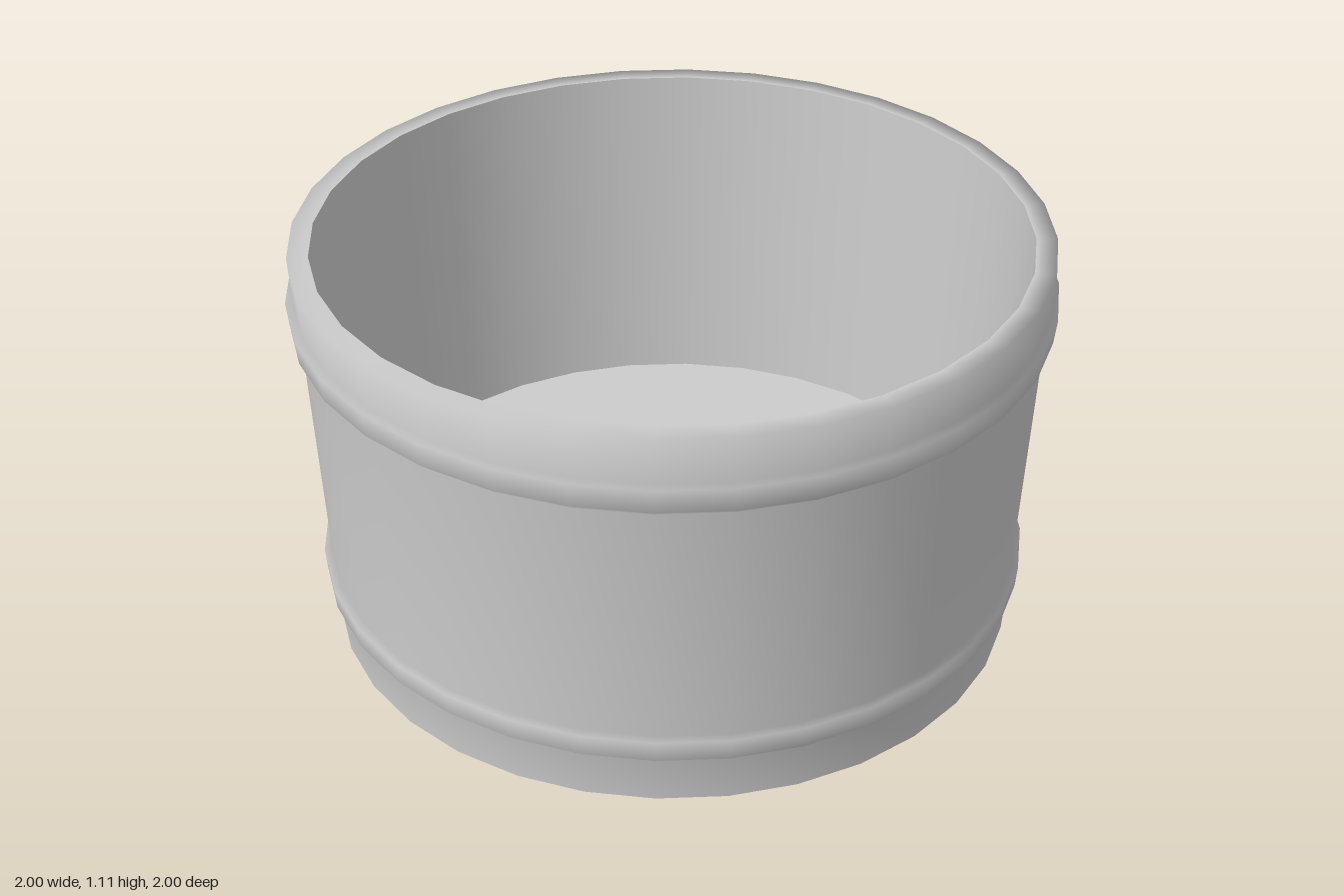
import * as THREE from 'three';

const SIDES = 32;

export function createModel() {
  const group = new THREE.Group();
  group.name = 'tub';
  const material = new THREE.MeshStandardMaterial({ color: 0xcccccc });

  const add = (name, geometry) => {
    const mesh = new THREE.Mesh(geometry, material);
    mesh.name = name;
    group.add(mesh);
    return mesh;
  };
  // Turned surface from [radius, height] pairs
  const turned = (name, profile) =>
    add(name, new THREE.LatheGeometry(profile.map(([r, y]) => new THREE.Vector2(r, y)), SIDES));

  // Tapered outer wall with two raised hoops, up and over the rim
  turned('outerWall', [
    [0.925, 0], [0.933, 0.13], [0.952, 0.145], [0.957, 0.205], [0.937, 0.21],
    [0.97, 0.895], [0.993, 0.915], [1.0, 0.98], [0.979, 0.985],
    [0.987, 1.11], [0.932, 1.11],
  ]);

  // Inside of the tub, from the rim down to the floor
  turned('innerWall', [[0.932, 1.11], [0.885, 0.17]]);

  // Hollow foot below the floor
  turned('footInside', [[0.888, 0.155], [0.912, 0]]);
  turned('footEdge', [[0.912, 0], [0.925, 0]]);

  // Floor, seen from above and from below
  const floor = add('floor', new THREE.CircleGeometry(0.885, SIDES));
  floor.rotation.x = -Math.PI / 2;
  floor.position.y = 0.17;
  const underside = add('underside', new THREE.CircleGeometry(0.888, SIDES));
  underside.rotation.x = Math.PI / 2;
  underside.position.y = 0.155;

  return group;
}
